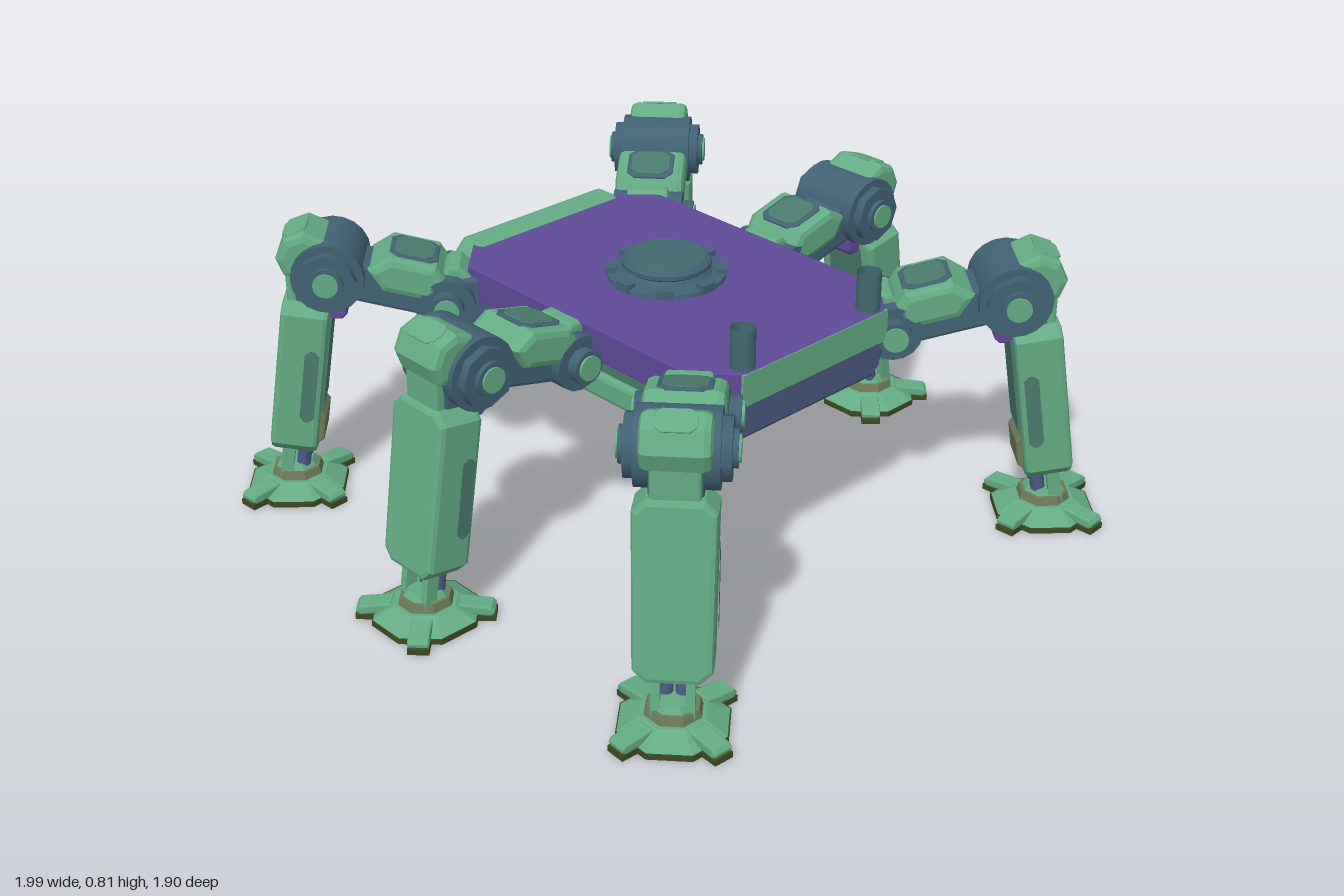
import * as THREE from 'three';

const mat = (name, hex) => Object.assign(new THREE.MeshStandardMaterial({ color: hex }), { name });

export function createModel() {
  const green = mat('armour green', 0x64ab84);
  const teal = mat('inset teal', 0x4a7a6c);
  const blue = mat('joint slate blue', 0x426274);
  const indigo = mat('frame indigo', 0x4a5a80);
  const purple = mat('deck purple', 0x5f4a98);
  const olive = mat('panel olive', 0x6c7a58);
  const sole = mat('sole dark olive', 0x3c4a24);
  const tube = mat('post slate', 0x426a70);
  tube.side = THREE.DoubleSide;

  const add = (parent, name, geo, m, x = 0, y = 0, z = 0) => {
    const mesh = new THREE.Mesh(geo, m);
    mesh.name = name;
    mesh.position.set(x, y, z);
    parent.add(mesh);
    return mesh;
  };

  // Rectangle with cut corners; topK and botK scale the width at each end
  const cutRect = (w, h, c, topK = 1, botK = 1) => {
    const t = w / 2 * topK, b = w / 2 * botK, k = h / 2;
    return new THREE.Shape([[-b + c, -k], [b - c, -k], [b, -k + c], [t, k - c],
      [t - c, k], [-t + c, k], [-t, k - c], [-b, -k + c]].map(p => new THREE.Vector2(...p)));
  };

  // Chamfered block: the profile lies in xy, with bevelled faces along z
  const block = (w, h, d, c = 0.02, bevel = 0.012, topK = 1, botK = 1) => {
    const geo = new THREE.ExtrudeGeometry(cutRect(w - 2 * bevel, h - 2 * bevel, c, topK, botK), {
      depth: d - 2 * bevel, bevelEnabled: true, bevelSize: bevel, bevelThickness: bevel, bevelSegments: 2,
    });
    return geo.translate(0, 0, -(d - 2 * bevel) / 2);
  };
  // Horizontal slab standing on y = 0
  const slab = (w, d, h, c, bevel) => block(w, d, h, c, bevel).rotateX(-Math.PI / 2).translate(0, h / 2, 0);
  // Cylinder along z
  const axle = (r, len, n = 16) => new THREE.CylinderGeometry(r, r, len, n).rotateX(Math.PI / 2);

  const root = new THREE.Group();
  root.name = 'hexapodWalker';

  // Body
  const body = new THREE.Group();
  body.name = 'body';
  root.add(body);
  add(body, 'deck', slab(0.71, 1.05, 0.09, 0.1, 0.003), purple, 0, 0.6, 0.022);
  add(body, 'bellyPlate', slab(0.66, 0.92, 0.07, 0.1, 0.012), green, 0, 0.47, 0);
  add(body, 'bellyFrame', slab(0.62, 0.9, 0.07, 0.1, 0.004), teal, 0, 0.535, 0);
  add(body, 'frontFascia', new THREE.BoxGeometry(0.53, 0.088, 0.008), green, 0, 0.645, 0.545);
  add(body, 'frontBlock', block(0.56, 0.11, 0.1, 0.02, 0.01, 1, 0.95), indigo, 0, 0.55, 0.48);
  add(body, 'frontSill', block(0.5, 0.03, 0.06, 0.005, 0.005), green, 0, 0.485, 0.46);
  add(body, 'rearBeam', block(0.56, 0.15, 0.1, 0.02, 0.022), green, 0, 0.622, -0.512);
  add(body, 'rearFrame', block(0.62, 0.09, 0.13, 0.02, 0.01), blue, 0, 0.525, -0.545);

  // Rear hanging panel
  const panel = new THREE.Group();
  panel.name = 'rearPanel';
  panel.position.set(0, 0.475, -0.65);
  panel.rotation.x = -0.05;
  body.add(panel);
  add(panel, 'panelPlate', block(0.68, 0.21, 0.065, 0.03, 0.01, 0.94, 1), olive);
  add(panel, 'panelBacking', block(0.6, 0.08, 0.03, 0.01, 0.006), blue, 0, 0.045, 0.04);
  for (const s of [-1, 1]) {
    // Open posts on the front corners
    add(body, 'post', new THREE.CylinderGeometry(0.032, 0.032, 0.11, 16, 1, true), tube, s * 0.23, 0.742, 0.51);
  }

  // Hatch with a ring of lugs
  const hatch = new THREE.Group();
  hatch.name = 'hatch';
  body.add(hatch);
  const hatchProfile = [[0.16, 0.69], [0.158, 0.7], [0.122, 0.705], [0.112, 0.718], [0.12, 0.724],
    [0.12, 0.735], [0.112, 0.742], [0, 0.742]].map(p => new THREE.Vector2(...p));
  const dome = new THREE.LatheGeometry(hatchProfile, 32).toNonIndexed();
  dome.computeVertexNormals();
  add(hatch, 'hatchDome', dome, blue);
  add(hatch, 'hatchLid', new THREE.CylinderGeometry(0.104, 0.108, 0.006, 32), tube, 0, 0.743, 0);
  for (let i = 0; i < 8; i++) {
    const a = i * Math.PI / 4;
    const lug = add(hatch, 'lug', new THREE.BoxGeometry(0.028, 0.025, 0.045), blue,
      Math.cos(a) * 0.148, 0.702, Math.sin(a) * 0.148);
    lug.rotation.y = -a;
  }

  // One leg reaching along +x from its hip
  const makeLeg = () => {
    const leg = new THREE.Group();
    leg.name = 'leg';

    // Hip
    add(leg, 'hipMount', block(0.12, 0.13, 0.14, 0.025, 0.01), indigo, -0.02, 0.6, 0);
    add(leg, 'hipAxle', axle(0.075, 0.2), blue, 0.055, 0.6, 0);
    add(leg, 'hipRim', axle(0.046, 0.262), blue, 0.055, 0.6, 0);
    add(leg, 'hipCap', axle(0.034, 0.276), green, 0.055, 0.6, 0);
    add(leg, 'hipCover', block(0.08, 0.06, 0.12, 0.02, 0.01), green, 0.035, 0.665, 0);

    // Thigh
    const thigh = new THREE.Group();
    thigh.name = 'thigh';
    thigh.position.set(0.165, 0.652, 0);
    thigh.rotation.z = 0.25;
    leg.add(thigh);
    add(thigh, 'thighCore', block(0.3, 0.11, 0.14, 0.025, 0.01), blue, 0.01, -0.025, 0);
    add(thigh, 'thighArmour', block(0.21, 0.1, 0.2, 0.03, 0.02), green, -0.005, 0.026, 0);
    add(thigh, 'thighInset', slab(0.132, 0.135, 0.01, 0.02, 0.003), blue, -0.005, 0.07, 0);
    add(thigh, 'thighInsetPlate', slab(0.108, 0.112, 0.008, 0.02, 0.002), teal, -0.005, 0.076, 0);

    // Knee
    add(leg, 'kneeDrum', axle(0.098, 0.2, 20), blue, 0.37, 0.685, 0);
    for (const s of [-1, 1]) {
      add(leg, 'kneeRim', axle(0.08, 0.04, 8), blue, 0.37, 0.685, s * 0.105);
      add(leg, 'kneeHub', axle(0.046, 0.02), blue, 0.37, 0.685, s * 0.128);
      add(leg, 'kneeCap', axle(0.034, 0.008), green, 0.37, 0.685, s * 0.14);
    }
    const knee = new THREE.Group();
    knee.name = 'kneeArmour';
    knee.position.set(0.432, 0.735, 0);
    knee.rotation.z = -0.35;
    leg.add(knee);
    add(knee, 'kneeBlock', block(0.14, 0.135, 0.17, 0.03, 0.02), green);
    add(knee, 'kneeInset', slab(0.07, 0.1, 0.006, 0.015, 0.002), green, 0, 0.065, 0);
    add(leg, 'kneeFork', block(0.09, 0.14, 0.13, 0.02, 0.01), blue, 0.42, 0.64, 0);
    add(leg, 'kneeTongue', block(0.05, 0.12, 0.12, 0.015, 0.008), green, 0.462, 0.65, 0);
    add(leg, 'kneePin', block(0.09, 0.08, 0.11, 0.01, 0.005), purple, 0.375, 0.585, 0);

    // Shin, leaning outward at the bottom
    const shin = new THREE.Group();
    shin.name = 'shin';
    shin.position.set(0.465, 0.375, 0);
    shin.rotation.z = 0.155;
    leg.add(shin);
    add(shin, 'shinArmour', block(0.2, 0.46, 0.13, 0.022, 0.014, 1, 0.95).rotateY(Math.PI / 2), green, 0.005, 0, 0);
    add(shin, 'shinInnerPlate', new THREE.BoxGeometry(0.008, 0.28, 0.12), teal, -0.062, 0.05, 0);
    add(shin, 'shinInnerGuard', block(0.03, 0.1, 0.12, 0.01, 0.005), olive, -0.06, -0.155, 0);
    for (const s of [-1, 1]) {
      add(shin, 'shinSideInset', new THREE.ShapeGeometry(cutRect(0.04, 0.22, 0.014)), teal,
        -0.025, -0.01, s * 0.1015).rotation.y = s > 0 ? 0 : Math.PI;
      add(shin, 'ankleStrut', new THREE.CylinderGeometry(0.02, 0.02, 0.19, 10), indigo, -0.022, -0.25, s * 0.022);
      add(shin, 'ankleRod', new THREE.BoxGeometry(0.035, 0.19, 0.022), green, 0.02, -0.25, s * 0.042);
    }

    // Foot
    const foot = new THREE.Group();
    foot.name = 'foot';
    foot.position.x = 0.51;
    leg.add(foot);
    const disc = (name, a, b, h, m, y) => {
      const g = new THREE.CylinderGeometry(a, b, h, 8).rotateY(Math.PI / 8).toNonIndexed();
      g.computeVertexNormals();
      add(foot, name, g, m, 0, y, 0);
    };
    disc('footSole', 0.145, 0.145, 0.016, sole, 0.008);
    disc('footPlate', 0.085, 0.142, 0.032, green, 0.032);
    disc('footRing', 0.068, 0.075, 0.024, olive, 0.058);
    disc('ankleCollar', 0.048, 0.06, 0.018, green, 0.077);
    for (let i = 0; i < 4; i++) {
      const toe = new THREE.Group();
      toe.name = 'toe';
      toe.rotation.y = Math.PI / 4 + i * Math.PI / 2;
      foot.add(toe);
      add(toe, 'toeSole', new THREE.BoxGeometry(0.08, 0.016, 0.055), sole, 0.14, 0.008, 0);
      add(toe, 'toeTop', block(0.1, 0.026, 0.055, 0.006, 0.005), green, 0.128, 0.03, 0).rotation.z = -0.1;
    }
    return leg;
  };

  // Two middle legs and four corner legs
  for (const sx of [-1, 1]) {
    for (const sz of [-1, 0, 1]) {
      const leg = makeLeg();
      leg.name = ['rear', 'middle', 'front'][sz + 1] + (sx > 0 ? 'LeftLeg' : 'RightLeg');
      leg.position.set(sx * (sz ? 0.33 : 0.34), 0, sz * 0.43);
      leg.rotation.y = -Math.atan2(sz * 0.335, sx * (sz ? 0.375 : 1));
      root.add(leg);
    }
  }
  return root;
}
